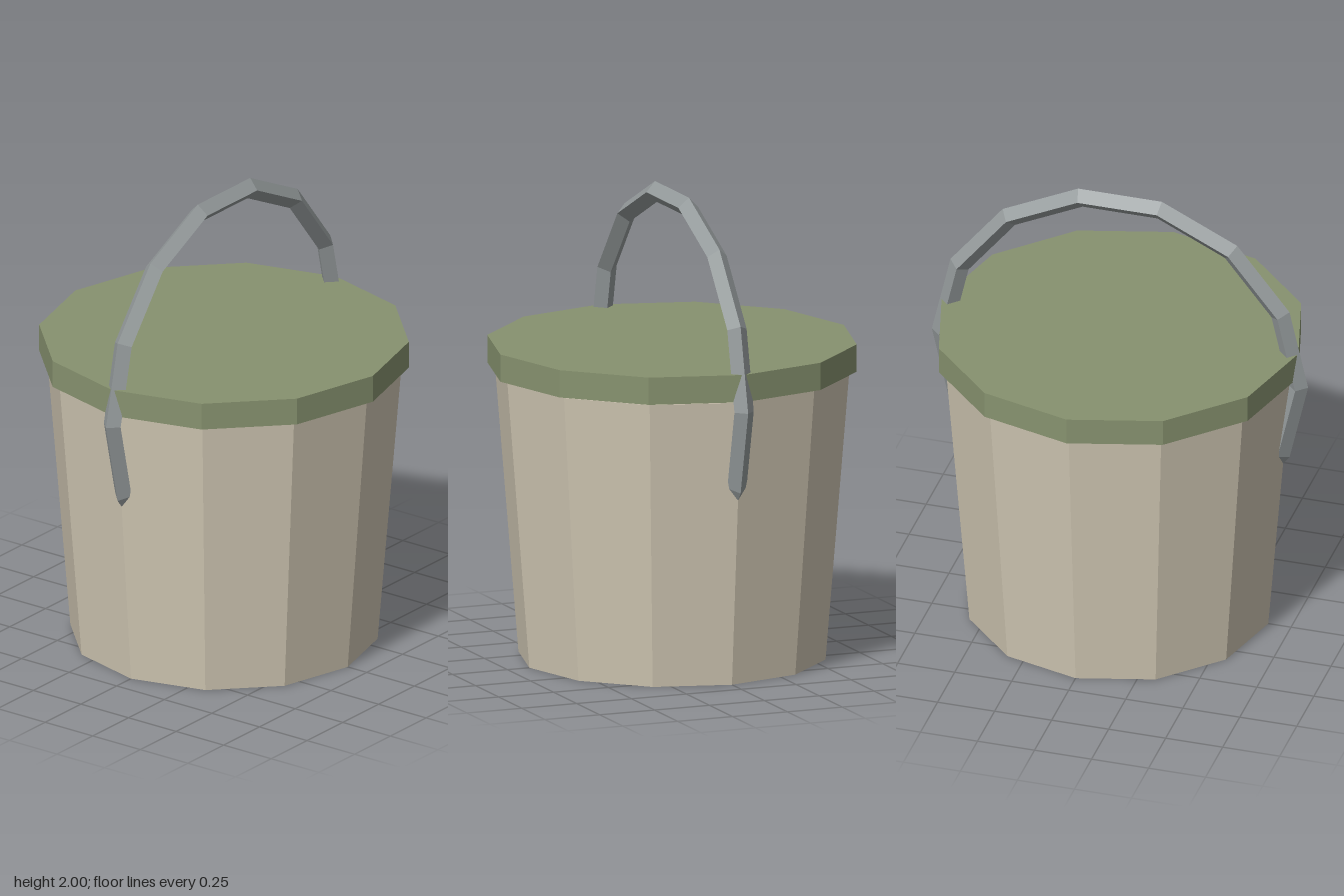
import * as THREE from 'three';

const SIDES = 12;

function mat(name, color) {
  const m = new THREE.MeshStandardMaterial({ color, flatShading: true });
  m.name = name;
  return m;
}

export function createModel() {
  const group = new THREE.Group();
  group.name = 'bucket';

  const add = (name, geometry, material, y) => {
    const mesh = new THREE.Mesh(geometry, material);
    mesh.name = name;
    mesh.position.y = y;
    group.add(mesh);
    return mesh;
  };

  // Tapered twelve-sided body
  const bodyHeight = 1.23;
  add('body', new THREE.CylinderGeometry(0.75, 0.65, bodyHeight, SIDES),
    mat('beige', 0xcfc6b2), bodyHeight / 2);

  // Flat lid, resting just above the rim
  const lidBottom = 1.238, lidTop = 1.355;
  add('lid', new THREE.CylinderGeometry(0.782, 0.782, lidTop - lidBottom, SIDES),
    mat('olive green', 0x87926f), (lidBottom + lidTop) / 2);

  // Diamond-section hoop handle whose ends run into the body walls
  const step = Math.PI / 7, segments = 11;
  const hoop = new THREE.TorusGeometry(0.781, 0.044, 4, segments, step * segments);
  hoop.rotateZ(-2 * step);
  add('handle', hoop, mat('steel grey', 0x949a9b), 1.196);

  return group;
}
